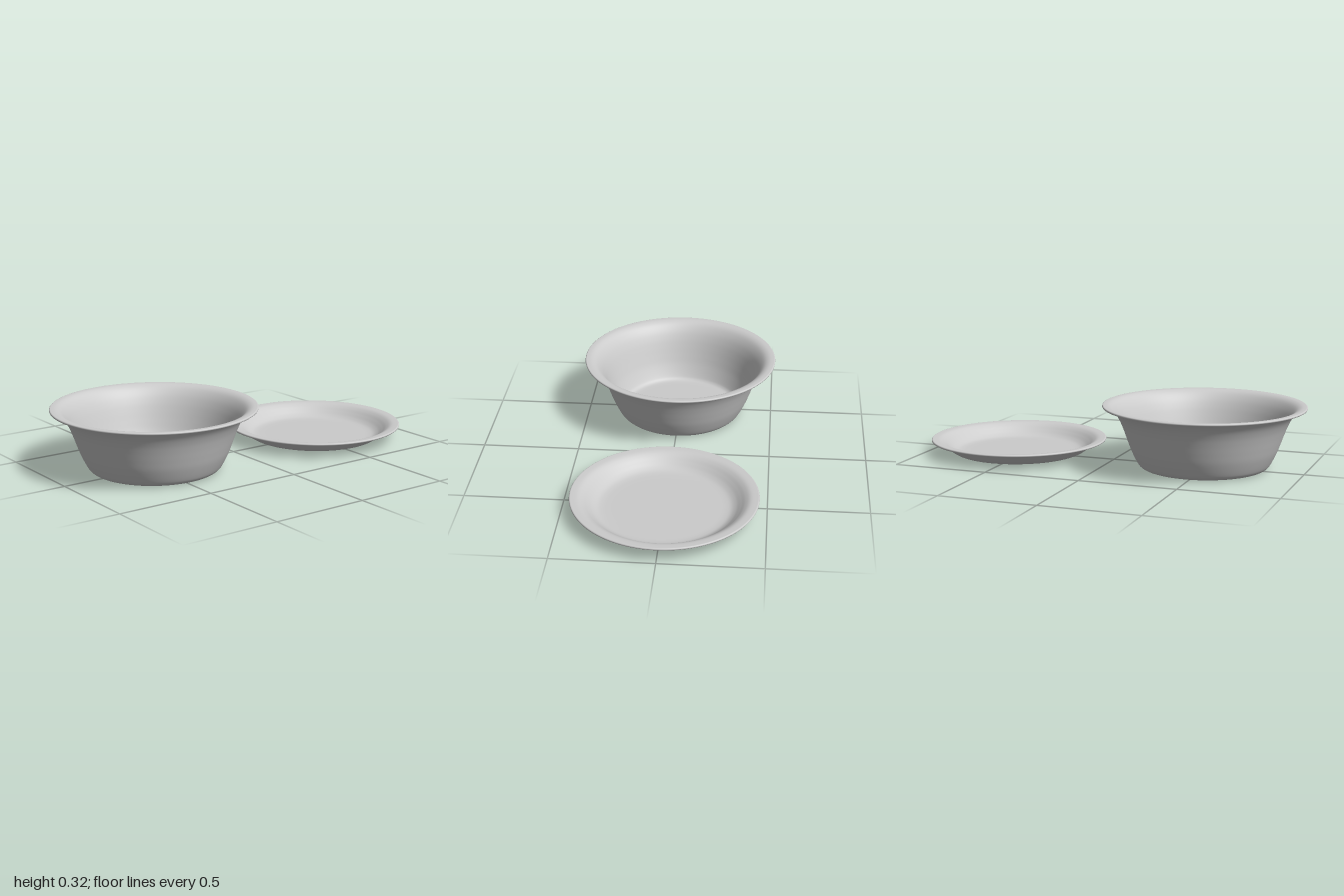
import * as THREE from 'three';

const material = new THREE.MeshStandardMaterial({ color: 0xcccccc });

// Thin round dish: a smooth underside curve, offset upward for the inside, joined by a rounded rim.
function makeDish(name, under, thickness, x) {
  const curve = new THREE.SplineCurve(under.map(([r, y]) => new THREE.Vector2(r, y)));
  const outer = curve.getPoints(56);
  const n = outer.length;
  const normals = outer.map((p, i) => {
    const t = outer[Math.min(i + 1, n - 1)].clone().sub(outer[Math.max(i - 1, 0)]).normalize();
    return new THREE.Vector2(-t.y, t.x);
  });
  const inner = outer.map((p, i) => p.clone().addScaledVector(normals[i], thickness));

  // Half-round lip between underside and inside
  const lip = [];
  const mid = outer[n - 1].clone().add(inner[n - 1]).multiplyScalar(0.5);
  for (let i = 1; i < 8; i++) {
    const a = -Math.PI / 2 + (i / 8) * Math.PI;
    lip.push(new THREE.Vector2(mid.x + Math.cos(a) * thickness / 2, mid.y + Math.sin(a) * thickness / 2));
  }

  // Flat floor runs to the axis on both faces
  const profile = [
    new THREE.Vector2(0, 0),
    ...outer, ...lip, ...inner.reverse(),
    new THREE.Vector2(0, thickness),
  ];
  const mesh = new THREE.Mesh(new THREE.LatheGeometry(profile, 128), material);
  mesh.name = name;
  mesh.position.x = x;
  return mesh;
}

export function createModel() {
  const group = new THREE.Group();
  group.name = 'bowlAndPlate';

  // Deep bowl with a flared rim
  group.add(makeDish('bowl', [
    [0.27, 0], [0.305, 0.002], [0.326, 0.013], [0.342, 0.036], [0.368, 0.09], [0.387, 0.14],
    [0.405, 0.19], [0.421, 0.23], [0.44, 0.266], [0.463, 0.294], [0.485, 0.306], [0.509, 0.308],
  ], 0.012, -0.485));

  // Shallow plate with a flared rim
  group.add(makeDish('plate', [
    [0.26, 0], [0.3, 0.001], [0.33, 0.006], [0.356, 0.019], [0.38, 0.038],
    [0.402, 0.056], [0.424, 0.067], [0.457, 0.07],
  ], 0.012, 0.537));

  return group;
}
